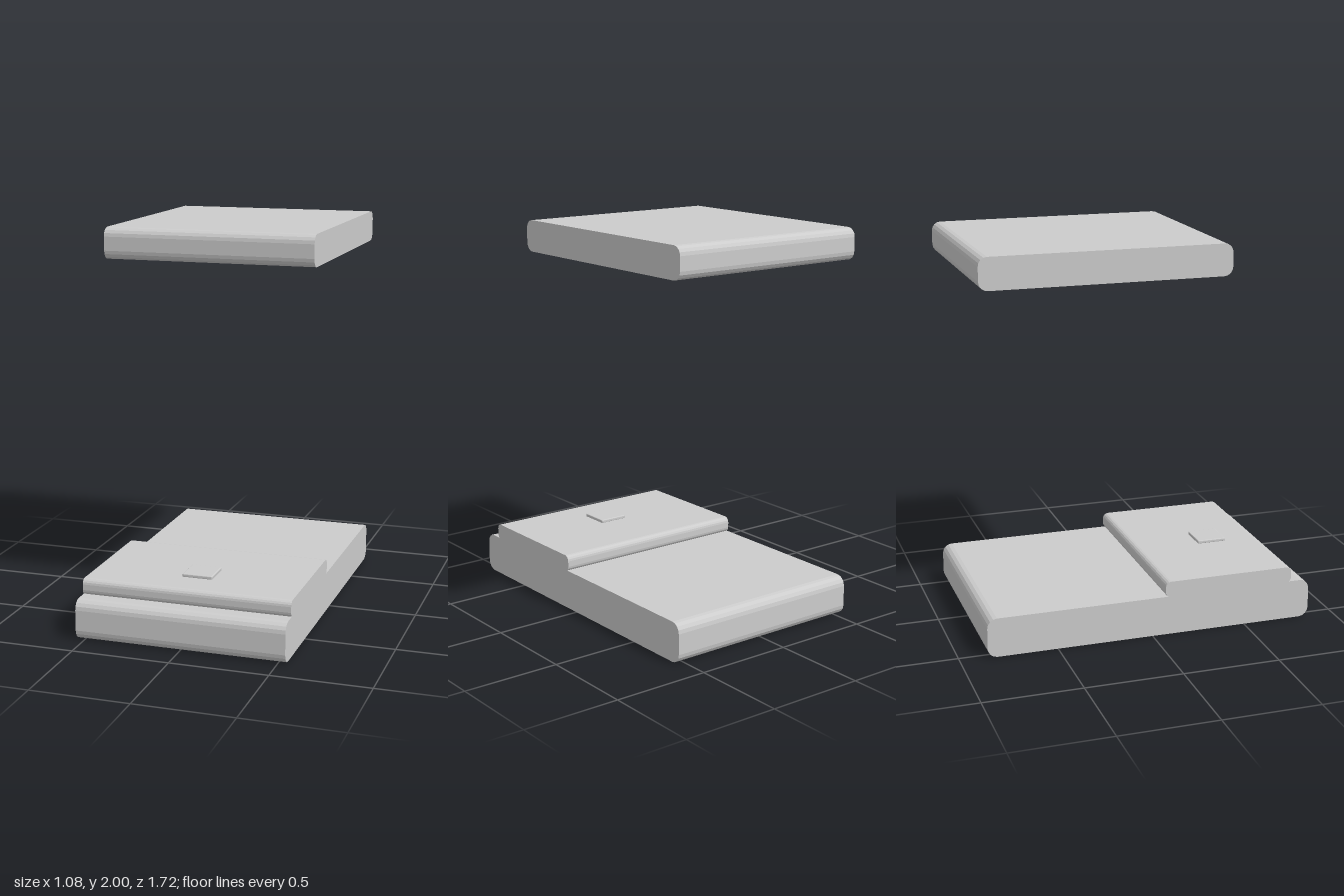
import * as THREE from 'three';
import { RoundedBoxGeometry } from 'three/addons/geometries/RoundedBoxGeometry.js';

const WIDTH = 1.08;

// Slab running across x, with its long edges rounded in two facets
function slab(name, zBack, zFront, yLow, yHigh, r, material) {
  const s = new THREE.Shape();
  s.absarc(zFront - r, yLow + r, r, -Math.PI / 2, 0);
  s.absarc(zFront - r, yHigh - r, r, 0, Math.PI / 2);
  s.absarc(zBack + r, yHigh - r, r, Math.PI / 2, Math.PI);
  s.absarc(zBack + r, yLow + r, r, Math.PI, Math.PI * 1.5);
  s.closePath();
  const g = new THREE.ExtrudeGeometry(s, { depth: WIDTH, bevelEnabled: false, curveSegments: 2 });
  g.translate(0, 0, -WIDTH / 2);
  g.rotateY(-Math.PI / 2); // profile x becomes z
  const mesh = new THREE.Mesh(g, material);
  mesh.name = name;
  return mesh;
}

export function createModel() {
  const grey = new THREE.MeshStandardMaterial({ color: 0xcccccc, flatShading: true });
  grey.name = 'light grey';

  const model = new THREE.Group();
  model.name = 'bunkMattresses';

  // Lower mattress, the raised pad on it, and the floating upper mattress
  model.add(
    slab('lowerMattress', -0.86, 0.86, 0, 0.205, 0.05, grey),
    slab('raisedPad', 0.07, 0.76, 0.2, 0.285, 0.028, grey),
    slab('upperMattress', -0.86, 0.4, 1.84, 2, 0.045, grey),
  );

  // Small square tile on the pad
  const tile = new THREE.Mesh(new RoundedBoxGeometry(0.157, 0.018, 0.157, 2, 0.005), grey);
  tile.name = 'tile';
  tile.position.set(0, 0.292, 0.495);
  model.add(tile);

  return model;
}
